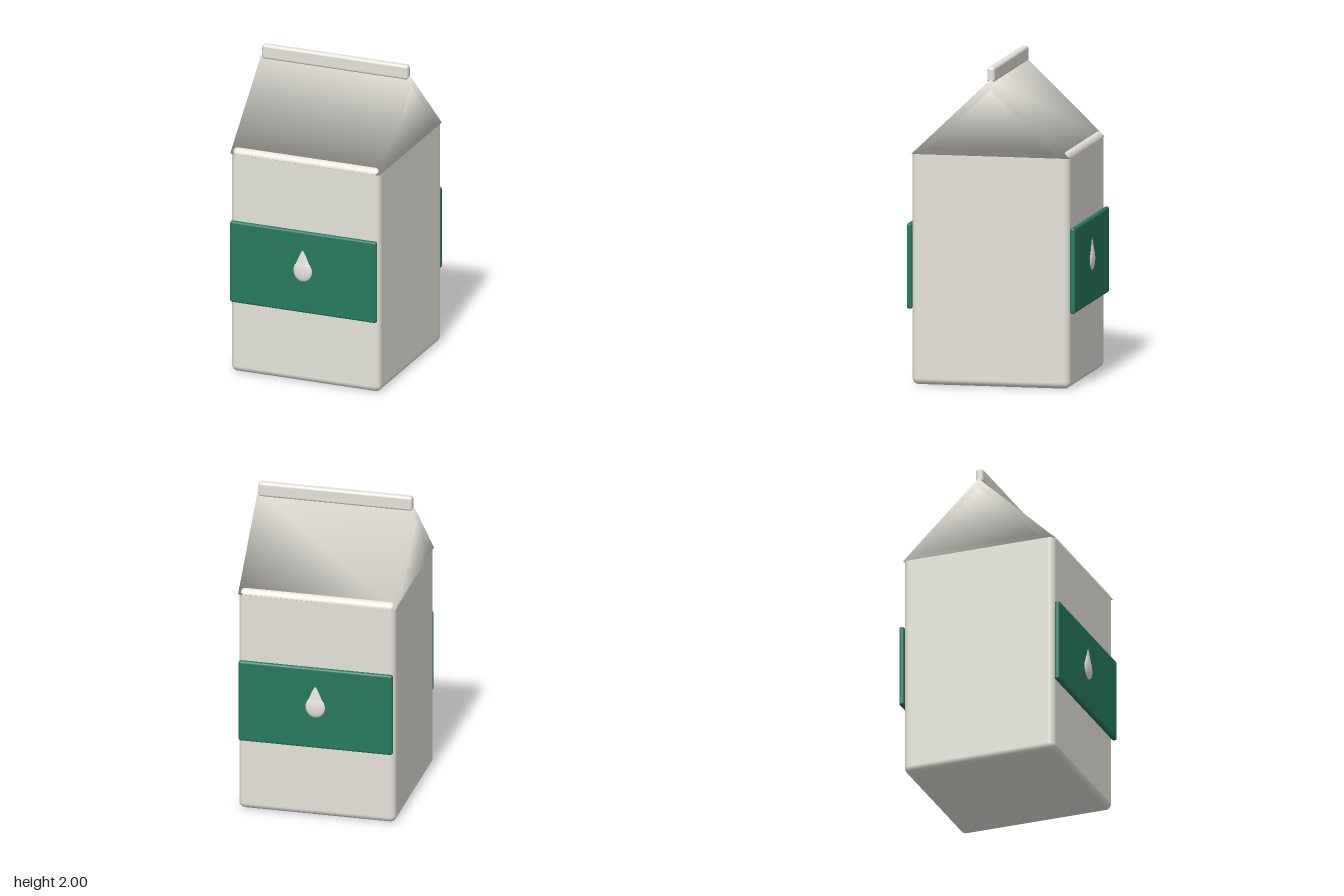
import * as THREE from 'three';
import { RoundedBoxGeometry } from 'three/addons/geometries/RoundedBoxGeometry.js';

const card = new THREE.MeshStandardMaterial({ name: 'offWhiteCard', color: 0xe4e2da });
const green = new THREE.MeshStandardMaterial({ name: 'greenLabel', color: 0x27795d });
const pale = new THREE.MeshStandardMaterial({ name: 'paleDrop', color: 0xe8e3df });

function add(parent, name, geometry, material, x = 0, y = 0, z = 0) {
  const mesh = new THREE.Mesh(geometry, material);
  mesh.name = name;
  mesh.position.set(x, y, z);
  parent.add(mesh);
  return mesh;
}

// Triangular prism along x with shared corners, so its normals blend softly
function gablePrism(halfLength, halfDepth, bottom, top) {
  const points = [];
  for (const x of [-halfLength, halfLength]) {
    points.push(x, bottom, halfDepth, x, bottom, -halfDepth, x, top, 0);
  }
  const geometry = new THREE.BufferGeometry();
  geometry.setAttribute('position', new THREE.Float32BufferAttribute(points, 3));
  geometry.setIndex([
    0, 2, 1, 3, 4, 5, // gable ends
    0, 3, 5, 0, 5, 2, // front slope
    1, 2, 5, 1, 5, 4, // back slope
    0, 1, 4, 0, 4, 3, // underside
  ]);
  geometry.computeVertexNormals();
  return geometry;
}

// Green label with a raised drop, facing +z
function labelPanel(name) {
  const panel = new THREE.Group();
  panel.name = name;
  add(panel, 'label', new RoundedBoxGeometry(0.98, 0.535, 0.033, 4, 0.014), green, 0, 0.743, 0.5165);

  const bulb = add(panel, 'dropBulb', new THREE.SphereGeometry(1, 32, 20), pale, 0, 0.752, 0.53);
  bulb.scale.set(0.063, 0.07, 0.018);
  const tip = add(panel, 'dropTip', new THREE.ConeGeometry(0.045, 0.11, 32), pale, 0, 0.855, 0.53);
  tip.scale.z = 0.32;
  return panel;
}

export function createModel() {
  const carton = new THREE.Group();
  carton.name = 'carton';

  // Body: its rounded top edge shows through the foot of the roof
  add(carton, 'body', new RoundedBoxGeometry(1, 1.475, 1, 5, 0.04), card, 0, 0.7425, 0);

  // Gabled roof, folded end panels and sealed ridge
  add(carton, 'roof', gablePrism(0.5, 0.5, 1.445, 1.925), card);
  add(carton, 'gableFolds', gablePrism(0.504, 0.405, 1.47, 1.86), card);
  add(carton, 'ridgeSeal', new RoundedBoxGeometry(0.98, 0.095, 0.05, 4, 0.018), card, 0, 1.9525, 0);

  // Labels on front and back
  const back = labelPanel('backLabel');
  back.rotation.y = Math.PI;
  carton.add(labelPanel('frontLabel'), back);

  return carton;
}
